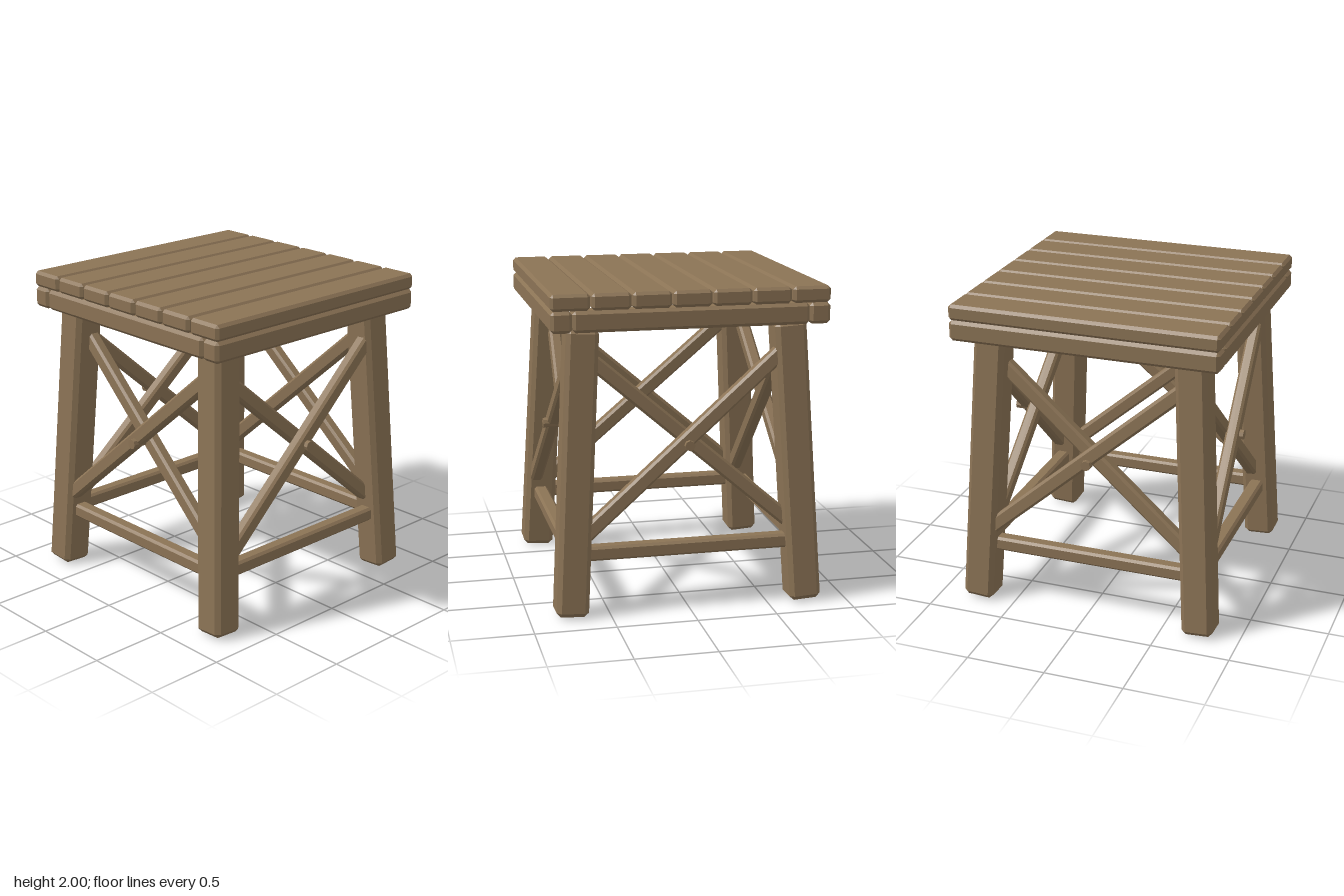
import * as THREE from 'three';
import { ConvexGeometry } from 'three/addons/geometries/ConvexGeometry.js';

const wood = new THREE.MeshStandardMaterial({ color: 0x8b7355 });
wood.name = 'weatheredWood';

// Box with every edge bevelled by c
function beam(name, w, h, d, c) {
  const pts = [];
  const [x, y, z] = [w / 2, h / 2, d / 2];
  for (const sx of [-1, 1]) for (const sy of [-1, 1]) for (const sz of [-1, 1]) {
    pts.push(
      new THREE.Vector3(sx * x, sy * (y - c), sz * (z - c)),
      new THREE.Vector3(sx * (x - c), sy * y, sz * (z - c)),
      new THREE.Vector3(sx * (x - c), sy * (y - c), sz * z));
  }
  const mesh = new THREE.Mesh(new ConvexGeometry(pts), wood);
  mesh.name = name;
  return mesh;
}

function place(parent, mesh, x, y, z) {
  mesh.position.set(x, y, z);
  parent.add(mesh);
  return mesh;
}

const LEAN = 0.057; // inward lean of the legs
const BRACE_ANGLE = 0.714;

// One side frame: low stretcher, crossed braces and the peg joining them
function sideFrame() {
  const side = new THREE.Group();
  side.name = 'sideFrame';
  place(side, beam('stretcher', 1.4, 0.09, 0.09, 0.015), 0, 0.387, 0.72);

  const cross = new THREE.Group();
  cross.name = 'crossBrace';
  cross.position.set(0, 1.068, 0.681);
  cross.rotation.x = -LEAN;
  for (const s of [1, -1]) {
    const brace = beam('diagonalBrace', 1.72, 0.094, 0.08, 0.015);
    brace.rotation.z = s * BRACE_ANGLE;
    place(cross, brace, 0, 0, s * 0.036);
  }
  side.add(cross);

  const peg = new THREE.Mesh(
    new THREE.CylinderGeometry(0.032, 0.032, 0.1, 8).toNonIndexed(), wood);
  peg.geometry.computeVertexNormals();
  peg.name = 'peg';
  peg.rotation.x = Math.PI / 2;
  place(side, peg, 0, 1.04, 0.735);
  return side;
}

export function createModel() {
  const stool = new THREE.Group();
  stool.name = 'woodenStool';

  // Seat planks
  for (let i = 0; i < 7; i++) {
    place(stool, beam('seatPlank', 1.7, 0.1, 0.236, 0.018), 0, 1.95, (i - 3) * 0.244);
  }

  // Apron under the seat
  for (const s of [-1, 1]) {
    place(stool, beam('longApron', 1.7, 0.13, 0.13, 0.02), 0, 1.835, s * 0.785);
    place(stool, beam('shortApron', 0.13, 0.13, 1.44, 0.02), s * 0.785, 1.835, 0);
  }

  // Splayed legs
  for (const sx of [-1, 1]) for (const sz of [-1, 1]) {
    const leg = beam('leg', 0.2, 1.765, 0.2, 0.028);
    leg.rotation.set(-sz * LEAN, 0, sx * LEAN);
    place(stool, leg, sx * 0.69, 0.888, sz * 0.69);
  }

  // Four identical side frames
  for (let i = 0; i < 4; i++) {
    const side = sideFrame();
    side.rotation.y = i * Math.PI / 2;
    stool.add(side);
  }
  return stool;
}
